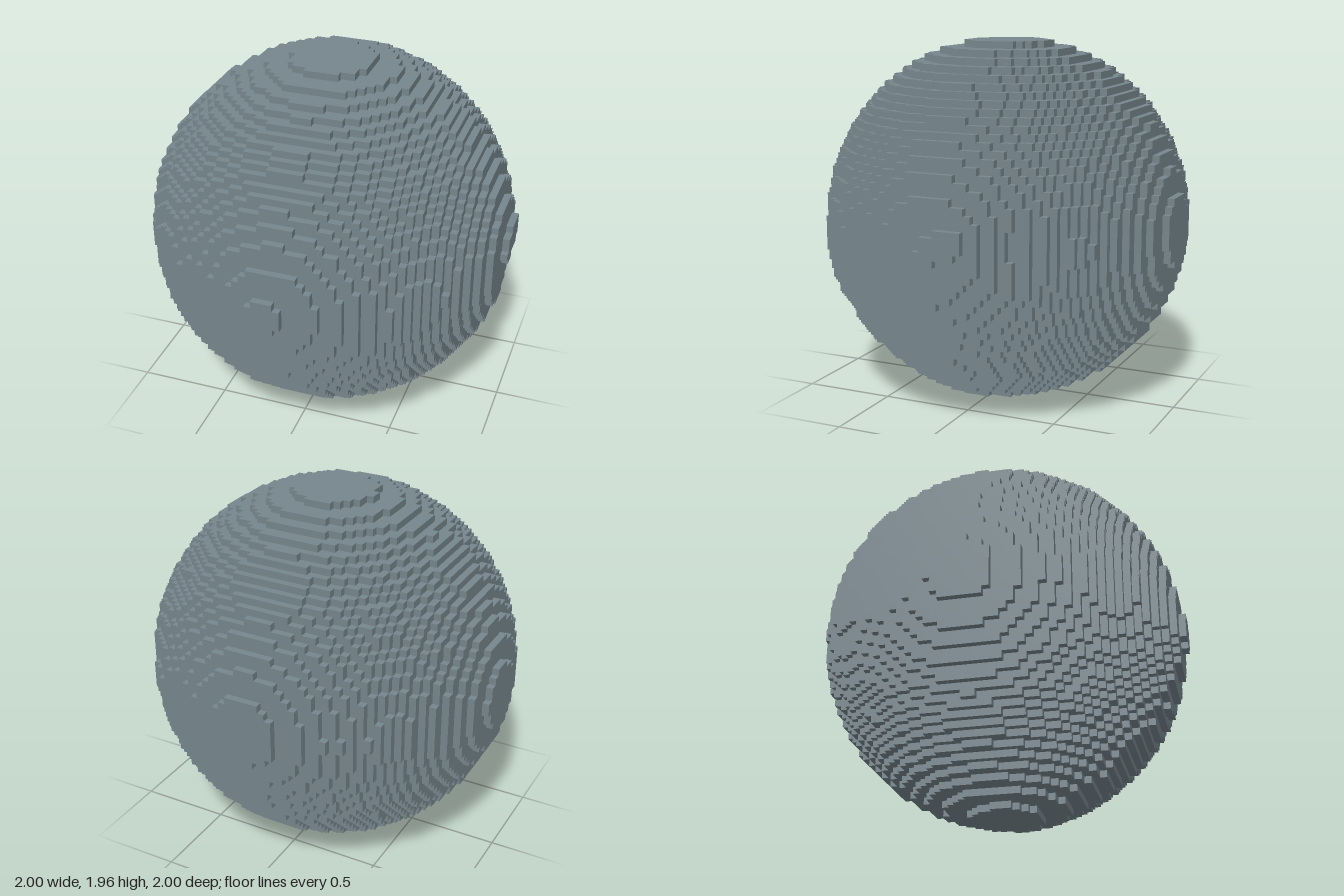
import * as THREE from 'three';

// A ball of small cubes on a 53-cell grid, with slight bumps and hollows
const N = 53;
const H = 2 / N;
const RADIUS = 0.985;
const CENTER = new THREE.Vector3(-0.004, 0.985, -0.012);

// Surface relief: x, y, z, width, height
const RELIEF = [
  [-0.05, 0.96, 0.98, 0.13, 0.022],
  [0.98, 1.04, -0.17, 0.1, 0.024],
  [-0.98, 1.0, -0.07, 0.25, 0.012],
  [0.02, 1.05, -0.99, 0.15, 0.006],
  [0.87, 1.02, -0.42, 0.1, -0.035],
  [0.5, 0.72, 0.8, 0.2, 0.02],
  [0.9, 0.7, 0.1, 0.2, 0.012],
  [0.3, 0.06, 0.1, 0.22, 0.012],
].map(([x, y, z, width, height]) => ({ at: new THREE.Vector3(x, y, z), width, height }));

const point = new THREE.Vector3();

function filled([i, j, k]) {
  if (Math.min(i, j, k) < 0 || Math.max(i, j, k) >= N) return false;
  point.set(-1 + (i + 0.5) * H, (j + 0.5) * H, -1 + (k + 0.5) * H);
  let radius = RADIUS;
  for (const r of RELIEF) {
    radius += r.height * Math.exp(-point.distanceToSquared(r.at) / (r.width * r.width));
  }
  return point.distanceTo(CENTER) <= radius;
}

// One square for every cube face that touches empty space
function cubeBallGeometry() {
  const positions = [];
  const normals = [];
  const indices = [];
  const corners = [[0, 0], [1, 0], [1, 1], [0, 1]];

  function addFace(cell, axis, side) {
    const start = positions.length / 3;
    const normal = [0, 0, 0];
    normal[axis] = side;
    for (const [a, b] of corners) {
      const p = [...cell];
      p[axis] += side > 0 ? 1 : 0;
      p[(axis + 1) % 3] += a;
      p[(axis + 2) % 3] += b;
      positions.push(-1 + p[0] * H, p[1] * H, -1 + p[2] * H);
      normals.push(...normal);
    }
    const order = side > 0 ? [0, 1, 2, 0, 2, 3] : [0, 2, 1, 0, 3, 2];
    indices.push(...order.map((n) => start + n));
  }

  // Solid cells are looked up once
  const solid = new Uint8Array(N * N * N);
  const id = ([i, j, k]) => (i * N + j) * N + k;
  const cells = [];
  for (let i = 0; i < N; i++)
    for (let j = 0; j < N; j++)
      for (let k = 0; k < N; k++) {
        const cell = [i, j, k];
        if (!filled(cell)) continue;
        solid[id(cell)] = 1;
        cells.push(cell);
      }

  for (const cell of cells)
    for (let axis = 0; axis < 3; axis++)
      for (const side of [-1, 1]) {
        const next = [...cell];
        next[axis] += side;
        const outside = next[axis] < 0 || next[axis] >= N;
        if (outside || !solid[id(next)]) addFace(cell, axis, side);
      }

  const geometry = new THREE.BufferGeometry();
  geometry.setAttribute('position', new THREE.Float32BufferAttribute(positions, 3));
  geometry.setAttribute('normal', new THREE.Float32BufferAttribute(normals, 3));
  geometry.setIndex(indices);
  return geometry;
}

export function createModel() {
  const group = new THREE.Group();
  group.name = 'cubeBall';
  const stone = new THREE.MeshStandardMaterial({ color: 0x76868d });
  stone.name = 'blueGreyStone';
  const ball = new THREE.Mesh(cubeBallGeometry(), stone);
  ball.name = 'ball';
  group.add(ball);
  return group;
}
